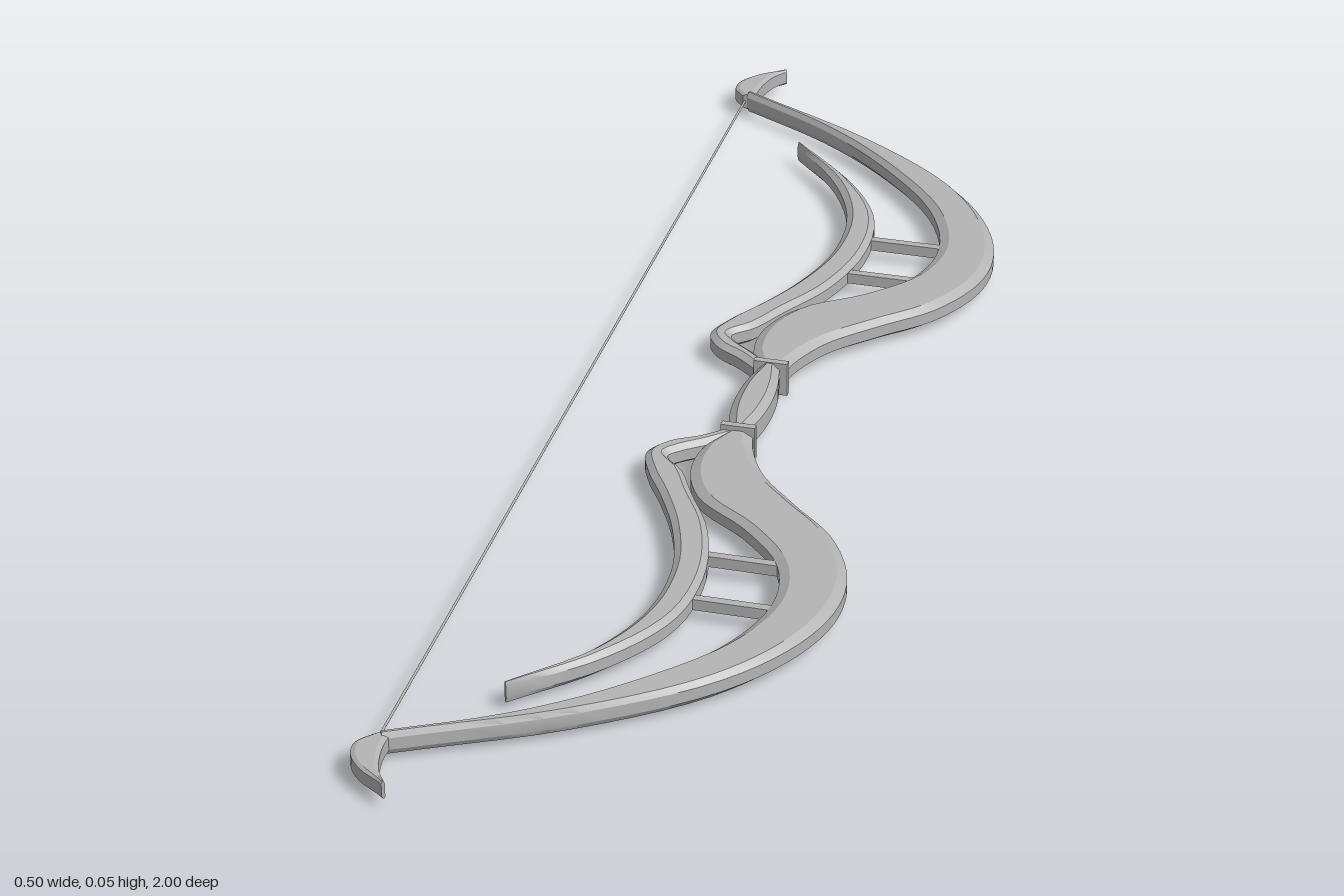
import * as THREE from 'three';
import { toCreasedNormals } from 'three/addons/utils/BufferGeometryUtils.js';

const MID = 0.0265; // height of the bow's middle plane

// Smoothly resample [x, z] points.
function smooth(points, n) {
  const curve = new THREE.CatmullRomCurve3(points.map(([x, z]) => new THREE.Vector3(x, 0, z)));
  return Array.from({ length: n + 1 }, (_, i) => curve.getPoint(i / n));
}

// Bar with a chamfered section, lofted between two edges given as
// stations [xLeft, zLeft, xRight, zRight]; side = -1 mirrors it in z.
function bladeGeometry(stations, side, half, chamferX, chamferY, n) {
  const left = smooth(stations.map((s) => [s[0], s[1]]), n);
  const right = smooth(stations.map((s) => [s[2], s[3]]), n);
  const pos = [], index = [];
  const tri = (a, b, c) => (side > 0 ? index.push(a, b, c) : index.push(a, c, b));
  for (let i = 0; i <= n; i++) {
    const width = left[i].distanceTo(right[i]);
    const c = Math.min(chamferX / Math.max(width, 1e-5), 0.35);
    const lo = half - chamferY;
    const ring = [[0, -lo], [c, -half], [1 - c, -half], [1, -lo],
      [1, lo], [1 - c, half], [c, half], [0, lo]];
    for (const [t, y] of ring) {
      const p = left[i].clone().lerp(right[i], t);
      pos.push(p.x, MID + y, p.z * side);
    }
  }
  for (let i = 0; i < n; i++) {
    for (let j = 0; j < 8; j++) {
      const a = i * 8 + j, b = i * 8 + (j + 1) % 8;
      tri(a, b, b + 8);
      tri(a, b + 8, a + 8);
    }
  }
  for (let j = 1; j < 7; j++) { // end caps
    tri(0, j + 1, j);
    tri(n * 8, n * 8 + j, n * 8 + j + 1);
  }
  const g = new THREE.BufferGeometry();
  g.setAttribute('position', new THREE.Float32BufferAttribute(pos, 3));
  g.setIndex(index);
  return toCreasedNormals(g, 0.45);
}

const LIMB = [
  [0.0, 0.085, 0.035, 0.085],
  [-0.022, 0.14, 0.045, 0.125],
  [-0.022, 0.2, 0.075, 0.185],
  [0.008, 0.265, 0.135, 0.25],
  [0.085, 0.325, 0.2, 0.315],
  [0.148, 0.4, 0.243, 0.405],
  [0.165, 0.49, 0.247, 0.49],
  [0.13, 0.6, 0.215, 0.585],
  [0.04, 0.712, 0.14, 0.685],
  [-0.08, 0.815, -0.01, 0.796],
  [-0.228, 0.898, -0.222, 0.908],
];
const INNER_LIMB = [
  [-0.005, 0.085, 0.012, 0.1],
  [-0.035, 0.11, -0.02, 0.13],
  [-0.073, 0.135, -0.048, 0.152],
  [-0.092, 0.168, -0.062, 0.17],
  [-0.076, 0.215, -0.035, 0.2],
  [-0.045, 0.268, -0.006, 0.255],
  [-0.008, 0.345, 0.037, 0.335],
  [0.018, 0.44, 0.063, 0.445],
  [0.014, 0.55, 0.053, 0.56],
  [-0.03, 0.655, -0.008, 0.665],
  [-0.112, 0.757, -0.109, 0.76],
];
const HOOK = [
  [-0.235, 0.9, -0.215, 0.9],
  [-0.252, 0.922, -0.216, 0.92],
  [-0.25, 0.948, -0.213, 0.945],
  [-0.23, 0.975, -0.205, 0.973],
  [-0.193, 1.0, -0.189, 0.998],
];
const GRIP = [
  [0.002, -0.09, 0.028, -0.09],
  [-0.008, -0.045, 0.037, -0.045],
  [-0.011, 0, 0.04, 0],
  [-0.008, 0.045, 0.037, 0.045],
  [0.002, 0.09, 0.028, 0.09],
];

export function createModel() {
  const bow = new THREE.Group();
  bow.name = 'bow';
  const grey = new THREE.MeshStandardMaterial({ color: 0xb4b4b4 });
  grey.name = 'plain grey';
  const add = (name, geometry, x = 0, y = 0, z = 0) => {
    const mesh = new THREE.Mesh(geometry, grey);
    mesh.name = name;
    mesh.position.set(x, y, z);
    bow.add(mesh);
    return mesh;
  };

  // Handle in the middle
  add('grip', bladeGeometry(GRIP, 1, 0.022, 0.011, 0.009, 16));

  // Both arms, mirrored front to back
  for (const side of [1, -1]) {
    const end = side > 0 ? 'front' : 'back';
    add(end + 'Limb', bladeGeometry(LIMB, side, 0.0165, 0.014, 0.008, 48));
    add(end + 'InnerLimb', bladeGeometry(INNER_LIMB, side, 0.0155, 0.009, 0.007, 48));
    add(end + 'Hook', bladeGeometry(HOOK, side, 0.0125, 0.006, 0.003, 16));
    add(end + 'Collar', new THREE.BoxGeometry(0.048, 0.05, 0.01), 0.016, 0.025, side * 0.09);
    for (const z of [0.395, 0.5]) {
      add(end + 'Strut', new THREE.BoxGeometry(0.125, 0.016, 0.012), 0.11, MID, side * z);
    }
  }

  // Bowstring
  add('bowstring', new THREE.CylinderGeometry(0.0018, 0.0018, 1.8, 8), -0.232, MID, 0)
    .rotation.x = Math.PI / 2;

  return bow;
}
